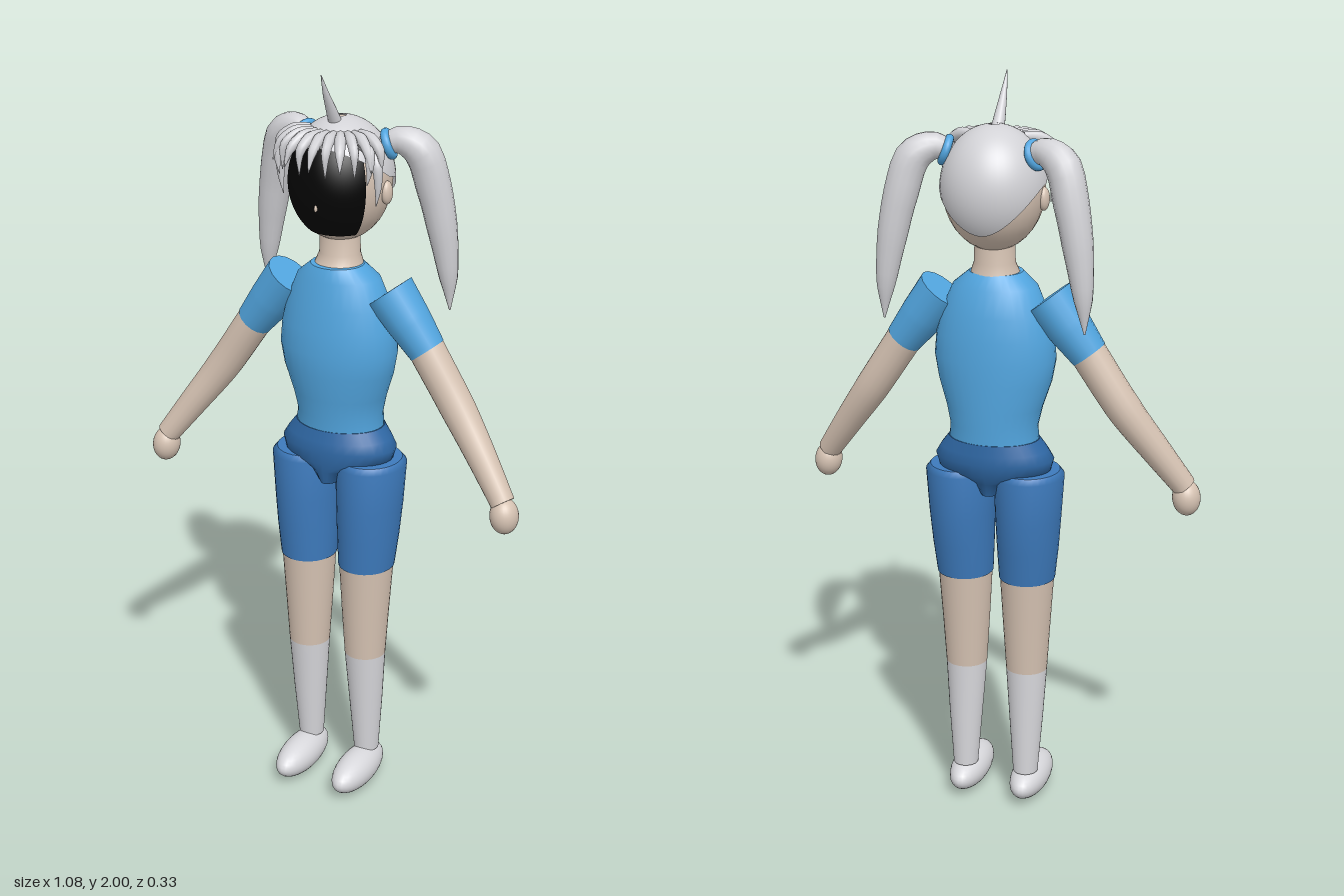
import * as THREE from 'three';
import { ParametricGeometry } from 'three/addons/geometries/ParametricGeometry.js';

const V = (x, y, z) => new THREE.Vector3(x, y, z);
const mat = (name, color, side = THREE.FrontSide) => {
  const m = new THREE.MeshStandardMaterial({ color, side });
  m.name = name;
  return m;
};

// Skin a list of closed rings, with flat caps at both ends
function loft(rings) {
  const n = rings[0].length, pos = [], idx = [];
  const push = p => pos.push(p.x, p.y, p.z);
  rings.forEach(r => r.forEach(push));
  for (let i = 0; i < rings.length - 1; i++) {
    for (let j = 0; j < n; j++) {
      const k = (j + 1) % n, a = i * n + j, b = i * n + k;
      idx.push(a, b, b + n, a, b + n, a + n);
    }
  }
  [rings[0], rings[rings.length - 1]].forEach((ring, end) => {
    const base = pos.length / 3;
    ring.forEach(push);
    push(ring.reduce((s, p) => s.add(p), V(0, 0, 0)).divideScalar(n));
    for (let j = 0; j < n; j++) {
      const k = (j + 1) % n;
      idx.push(base + n, base + (end ? j : k), base + (end ? k : j));
    }
  });
  const g = new THREE.BufferGeometry();
  g.setAttribute('position', new THREE.Float32BufferAttribute(pos, 3));
  g.setIndex(idx);
  g.computeVertexNormals();
  return g;
}

// Horizontal elliptical sections listed from top to bottom: [y, cx, cz, rx, rz]
const column = (rows, n = 32) => loft([...rows].reverse().map(([y, cx, cz, rx, rz]) =>
  Array.from({ length: n }, (_, j) => {
    const a = j / n * Math.PI * 2;
    return V(cx + Math.sin(a) * rx, y, cz + Math.cos(a) * rz);
  })));

// Body sections: [y, half width, front z, back z]
const trunk = rows => column(rows.map(([y, rx, f, b]) => [y, 0, (f + b) / 2, rx, (f - b) / 2]));

// Round sections along a smooth path: [x, y, z, radius]
function sweep(pts, steps = 20, n = 16) {
  const c = new THREE.CatmullRomCurve3(pts.map(p => V(p[0], p[1], p[2])));
  c.getPointAt = t => c.getPoint(t);
  c.getTangentAt = t => c.getTangent(t);
  const f = c.computeFrenetFrames(steps, false), rings = [];
  for (let i = 0; i <= steps; i++) {
    const s = i / steps * (pts.length - 1), k = Math.min(Math.floor(s), pts.length - 2);
    const r = THREE.MathUtils.lerp(pts[k][3], pts[k + 1][3], s - k), o = c.getPoint(i / steps);
    rings.push(Array.from({ length: n }, (_, j) => {
      const a = j / n * Math.PI * 2;
      return o.clone().addScaledVector(f.normals[i], Math.cos(a) * r)
        .addScaledVector(f.binormals[i], Math.sin(a) * r);
    }));
  }
  return loft(rings);
}

// Patch of an ellipsoid around the head centre; range(u) gives [azimuth, top angle, bottom angle]
const headPatch = (rx, ry, rz, range) => new ParametricGeometry((u, v, p) => {
  const [az, t0, t1] = range(u), t = t0 + (t1 - t0) * v;
  p.set(Math.sin(t) * Math.sin(az) * rx, 1.72 + Math.cos(t) * ry, -0.025 + Math.sin(t) * Math.cos(az) * rz);
}, 48, 24);

export function createModel() {
  const model = new THREE.Group();
  model.name = 'figure';
  const skin = mat('skin', 0xd6c3b3), hair = mat('hair', 0xd2d2d6, THREE.DoubleSide);
  const shirt = mat('shirt blue', 0x52a6e0), shorts = mat('shorts blue', 0x3d7abc);
  const waist = mat('waist blue', 0x2f68a5), white = mat('sock white', 0xd8d8dc);
  const black = mat('face black', 0x050505, THREE.DoubleSide);

  const add = (name, geo, material) => {
    const m = new THREE.Mesh(geo, material);
    m.name = name;
    model.add(m);
    return m;
  };
  const ball = (name, material, x, y, z, rx, ry, rz) => {
    const m = add(name, new THREE.SphereGeometry(1, 28, 18), material);
    m.position.set(x, y, z);
    m.scale.set(rx, ry, rz);
    return m;
  };

  // Trunk
  add('shirt', trunk([
    [1.505, 0.07, 0.06, -0.075], [1.47, 0.112, 0.072, -0.1], [1.4, 0.142, 0.083, -0.115],
    [1.34, 0.157, 0.091, -0.122], [1.28, 0.162, 0.095, -0.125], [1.22, 0.151, 0.092, -0.125],
    [1.15, 0.128, 0.08, -0.123], [1.1, 0.117, 0.072, -0.12], [1.055, 0.12, 0.069, -0.118]]), shirt);
  add('waistband', trunk([
    [1.065, 0.122, 0.071, -0.12], [1.035, 0.145, 0.079, -0.123], [1.01, 0.16, 0.085, -0.125],
    [0.975, 0.15, 0.082, -0.118], [0.95, 0.065, 0.078, -0.1], [0.915, 0.034, 0.07, -0.09]]), waist);
  add('neck', column([[1.6, 0, -0.02, 0.052, 0.048], [1.53, 0, -0.02, 0.054, 0.05],
    [1.5, 0, -0.015, 0.065, 0.062]]), skin);

  // Head, face plate and hair cap, which hangs lower at the back
  ball('head', skin, 0, 1.72, -0.025, 0.13, 0.158, 0.135);
  add('face', headPatch(0.133, 0.16, 0.139, u => [0.97 - 1.94 * u, 0.85, 2.48]), black);
  ball('nose', skin, 0, 1.675, 0.11, 0.004, 0.009, 0.007);
  add('hairCap', headPatch(0.138, 0.162, 0.141, u => {
    const az = Math.PI * (1 - 2 * u), c = Math.cos(az);
    return [az, 0.1, c > 0 ? 1.45 - 0.55 * c : 1.45 + 0.8 * c * c];
  }), hair);
  add('topStrand', sweep([[0, 1.86, 0, 0.018], [0, 1.9, 0.025, 0.014], [0, 1.95, 0.055, 0.008],
    [0, 2, 0.08, 0.001]]), hair);

  // Fringe fanned across the forehead
  for (let i = -5; i <= 5; i++) {
    const a = i * 0.23, drop = i % 2 ? 0.015 : 0;
    const at = (r, y, w) => [Math.sin(a) * r, y, -0.025 + Math.cos(a) * r, w];
    add('fringeStrand', sweep([at(0.075, 1.848, 0.012), at(0.115, 1.845, 0.015),
      at(0.152, 1.82, 0.012), at(0.172 - drop, 1.775 - drop, 0.001)], 12, 8), hair);
  }

  for (const s of [1, -1]) {
    const side = s > 0 ? 'left' : 'right';
    const tube = pts => sweep(pts.map(([x, y, z, r]) => [s * x, y, z, r]));
    const limb = rows => column(rows.map(([y, x, ...r]) => [y, s * x, ...r]));

    // Head sides
    ball(side + 'Ear', skin, s * 0.13, 1.7, -0.022, 0.014, 0.03, 0.02);
    add(side + 'SideLock', tube([[0.115, 1.81, 0.03, 0.012], [0.133, 1.78, 0.04, 0.014],
      [0.136, 1.73, 0.04, 0.009], [0.13, 1.68, 0.038, 0.001]]), hair);
    add(side + 'TempleLock', tube([[0.09, 1.83, 0.04, 0.012], [0.12, 1.82, 0.06, 0.014],
      [0.128, 1.785, 0.07, 0.01], [0.122, 1.74, 0.072, 0.001]]), hair);
    add(side + 'Ponytail', tube([[0.095, 1.805, -0.05, 0.022], [0.145, 1.825, -0.066, 0.036],
      [0.193, 1.8, -0.083, 0.046], [0.222, 1.71, -0.098, 0.045], [0.244, 1.6, -0.108, 0.039],
      [0.26, 1.48, -0.115, 0.026], [0.266, 1.385, -0.117, 0.002]]), hair);
    const tie = add(side + 'HairTie', new THREE.TorusGeometry(0.03, 0.011, 12, 24), shirt);
    tie.position.set(s * 0.118, 1.815, -0.055);
    tie.lookAt(s * 0.17, 1.835, -0.072);

    // Arm
    add(side + 'Sleeve', tube([[0.143, 1.446, -0.017, 0.066], [0.2, 1.372, -0.017, 0.059],
      [0.252, 1.305, -0.016, 0.049]]), shirt);
    add(side + 'Arm', tube([[0.246, 1.313, -0.016, 0.048], [0.345, 1.165, -0.008, 0.046],
      [0.425, 1.055, 0.016, 0.039], [0.497, 0.955, 0.043, 0.032]]), skin);
    const hand = ball(side + 'Hand', skin, s * 0.503, 0.923, 0.046, 0.037, 0.048, 0.04);
    hand.rotation.z = s * 0.1;

    // Leg
    add(side + 'ShortsLeg', limb([[0.98, 0.093, -0.018, 0.082, 0.09], [0.965, 0.094, -0.018, 0.093, 0.103],
      [0.85, 0.092, -0.016, 0.087, 0.1], [0.76, 0.09, -0.012, 0.082, 0.091],
      [0.67, 0.087, -0.008, 0.075, 0.08]]), shorts);
    add(side + 'Leg', limb([[0.68, 0.087, -0.008, 0.073, 0.078], [0.53, 0.086, -0.006, 0.064, 0.066],
      [0.4, 0.086, -0.005, 0.056, 0.056]]), skin);
    add(side + 'Sock', limb([[0.4, 0.086, -0.005, 0.056, 0.056], [0.25, 0.087, -0.01, 0.046, 0.046],
      [0.09, 0.087, -0.015, 0.034, 0.035]]), white);
    ball(side + 'Shoe', white, s * 0.088, 0.05, 0.04, 0.051, 0.05, 0.124);
  }
  return model;
}
